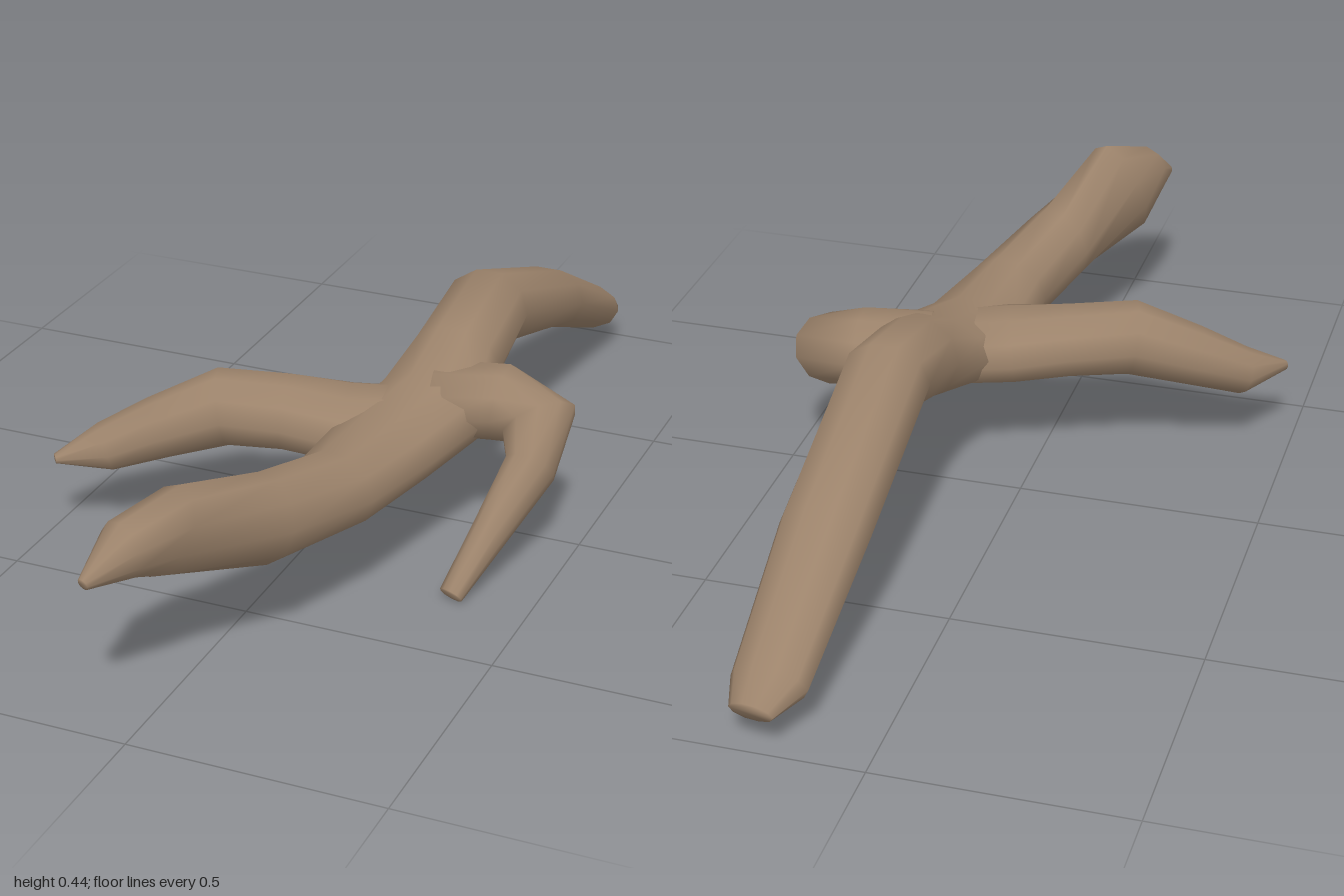
import * as THREE from 'three';

const SIDES = 10;

// Lofts elliptical rings along a path. Row: x, y, z, half width, half height, roll.
function limb(name, rows, material) {
  const centres = rows.map(r => new THREE.Vector3(r[0], r[1], r[2]));
  const up = new THREE.Vector3(0, 1, 0);
  const pos = [], index = [];
  rows.forEach(([, , , w, h, roll = 0], i) => {
    const t = centres[Math.min(i + 1, rows.length - 1)].clone()
      .sub(centres[Math.max(i - 1, 0)]).normalize();
    const side = new THREE.Vector3().crossVectors(up, t).normalize();
    const rise = new THREE.Vector3().crossVectors(t, side);
    for (let j = 0; j < SIDES; j++) {
      const a = j / SIDES * Math.PI * 2;
      const p = side.clone().multiplyScalar(w * Math.cos(a))
        .addScaledVector(rise, h * Math.sin(a))
        .applyAxisAngle(t, roll).add(centres[i]);
      pos.push(p.x, p.y, p.z);
    }
  });
  for (let i = 0; i < rows.length - 1; i++) {
    for (let j = 0; j < SIDES; j++) {
      const a = i * SIDES + j, b = i * SIDES + (j + 1) % SIDES;
      index.push(a, b, a + SIDES, b, b + SIDES, a + SIDES);
    }
  }
  // Close both ends
  const last = (rows.length - 1) * SIDES;
  for (let j = 1; j < SIDES - 1; j++) {
    index.push(0, j + 1, j, last, last + j, last + j + 1);
  }
  const geo = new THREE.BufferGeometry();
  geo.setAttribute('position', new THREE.Float32BufferAttribute(pos, 3));
  geo.setIndex(index);
  geo.computeVertexNormals();
  const mesh = new THREE.Mesh(geo, material);
  mesh.name = name;
  return mesh;
}

export function createModel() {
  const group = new THREE.Group();
  group.name = 'branchingRoot';
  const bark = new THREE.MeshStandardMaterial({ color: 0x9c836b });

  // Main stem: drooping back limb, central body and rising front limb
  group.add(limb('mainStem', [
    [0.215, 0.085, -0.99, 0.045, 0.02],
    [0.205, 0.103, -0.92, 0.075, 0.05],
    [0.2, 0.245, -0.62, 0.09, 0.066],
    [0.2, 0.37, -0.25, 0.09, 0.08],
    [0.2, 0.325, -0.08, 0.095, 0.085],
    [0.2, 0.275, 0.05, 0.125, 0.078],
    [0.16, 0.25, 0.2, 0.115, 0.074],
    [0.14, 0.25, 0.4, 0.09, 0.076],
    [0.085, 0.275, 0.6, 0.08, 0.087],
    [-0.005, 0.335, 0.81, 0.062, 0.105, -0.45],
    [-0.045, 0.335, 0.9, 0.053, 0.06, -0.4],
    [-0.075, 0.305, 0.99, 0.012, 0.012],
  ], bark));

  // Long side limb
  group.add(limb('rightLimb', [
    [0.2, 0.26, 0.1, 0.11, 0.07],
    [0.06, 0.262, 0.15, 0.115, 0.072],
    [-0.06, 0.273, 0.175, 0.095, 0.073],
    [-0.18, 0.278, 0.212, 0.085, 0.077],
    [-0.3, 0.23, 0.258, 0.067, 0.063],
    [-0.4, 0.187, 0.3, 0.052, 0.05],
    [-0.478, 0.175, 0.368, 0.01, 0.01],
  ], bark));

  // Short limb that bends forward and down to the ground
  group.add(limb('leftLimb', [
    [0.2, 0.29, 0.03, 0.11, 0.07],
    [0.33, 0.292, 0.005, 0.095, 0.075],
    [0.412, 0.268, 0.015, 0.08, 0.075],
    [0.422, 0.205, 0.09, 0.052, 0.055],
    [0.385, 0.115, 0.2, 0.037, 0.04],
    [0.347, 0.022, 0.315, 0.025, 0.022],
  ], bark));

  return group;
}
